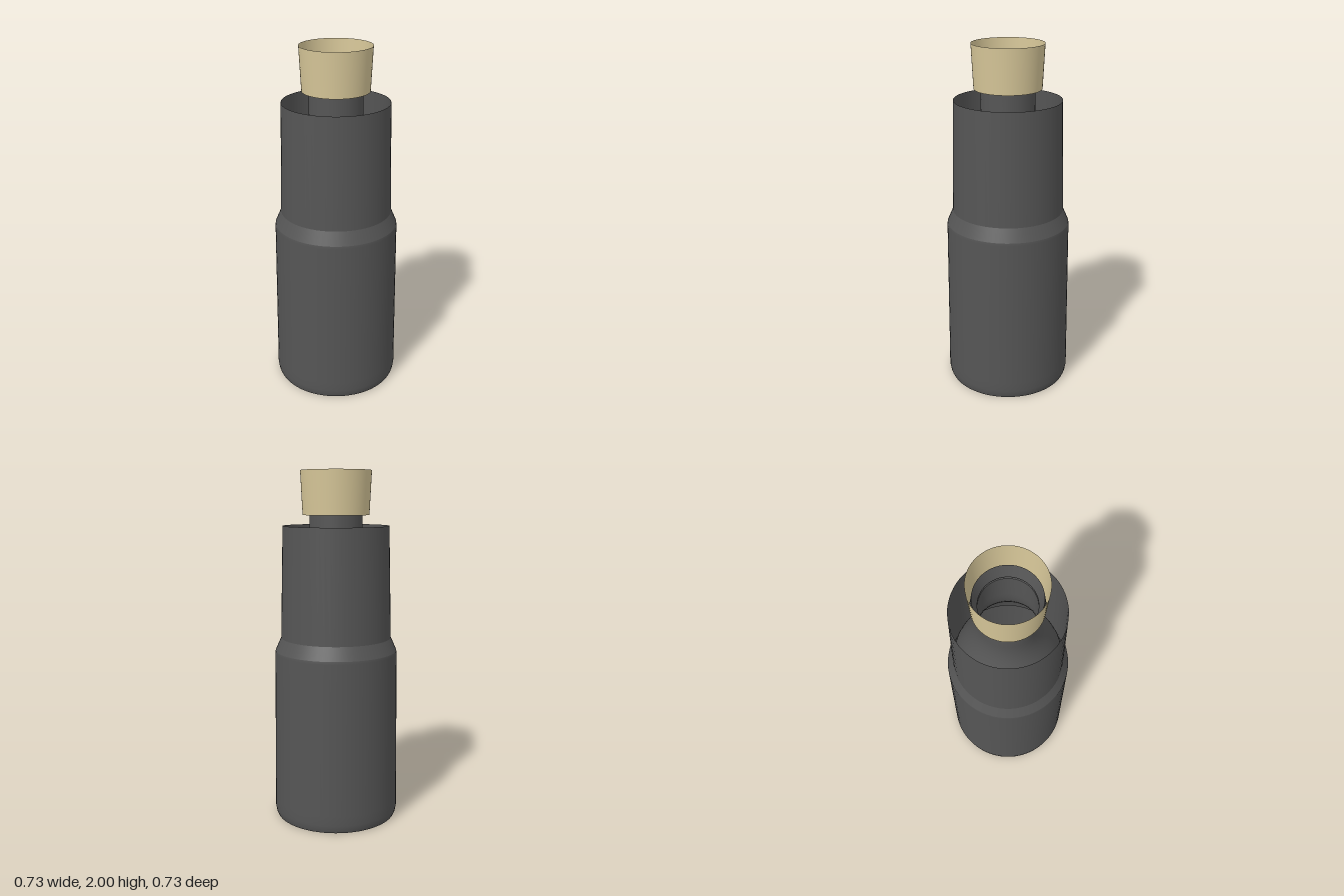
import * as THREE from 'three';

const SEGMENTS = 64;

// Open, thin surface of revolution; each run of points is smooth, runs meet at sharp edges
function turned(name, runs, material) {
  const group = new THREE.Group();
  group.name = name;
  runs.forEach((run, i) => {
    const points = run.map(([r, y]) => new THREE.Vector2(r, y));
    const mesh = new THREE.Mesh(new THREE.LatheGeometry(points, SEGMENTS), material);
    mesh.name = `${name}Section${i + 1}`;
    group.add(mesh);
  });
  return group;
}

export function createModel() {
  const model = new THREE.Group();
  model.name = 'bottle';

  const dark = new THREE.MeshStandardMaterial({ color: 0x555555, side: THREE.DoubleSide });
  const tan = new THREE.MeshStandardMaterial({ color: 0xd6c698, side: THREE.DoubleSide });

  // Outer body: bevelled open foot, slight taper, stepped shoulder
  model.add(turned('body', [
    [[0.352, 0], [0.358, 0.015], [0.363, 0.045], [0.362, 0.1], [0.352, 0.97], [0.35, 0.985]],
    [[0.35, 0.985], [0.317, 1.06]],
  ], dark));

  // Tapered sleeve, open at the top
  model.add(turned('sleeve', [[[0.317, 1.06], [0.301, 1.695]]], dark));

  // Inner shoulder sweeping up into the narrow neck
  const shoulder = new THREE.CubicBezierCurve(
    new THREE.Vector2(0.315, 1.06),
    new THREE.Vector2(0.28, 1.3),
    new THREE.Vector2(0.15, 1.36),
    new THREE.Vector2(0.15, 1.58),
  ).getPoints(14).map((p) => [p.x, p.y]);
  model.add(turned('neck', [[...shoulder, [0.15, 1.755]]], dark));

  // Flared lip with a funnel mouth
  model.add(turned('lip', [
    [[0.15, 1.755], [0.187, 1.765]],
    [[0.187, 1.765], [0.176, 1.85]],
    [[0.176, 1.85], [0.15, 1.77]],
  ], dark));

  // Flared collar around the lip, open at both ends
  model.add(turned('collar', [[[0.188, 1.755], [0.2, 2]]], tan));

  return model;
}
